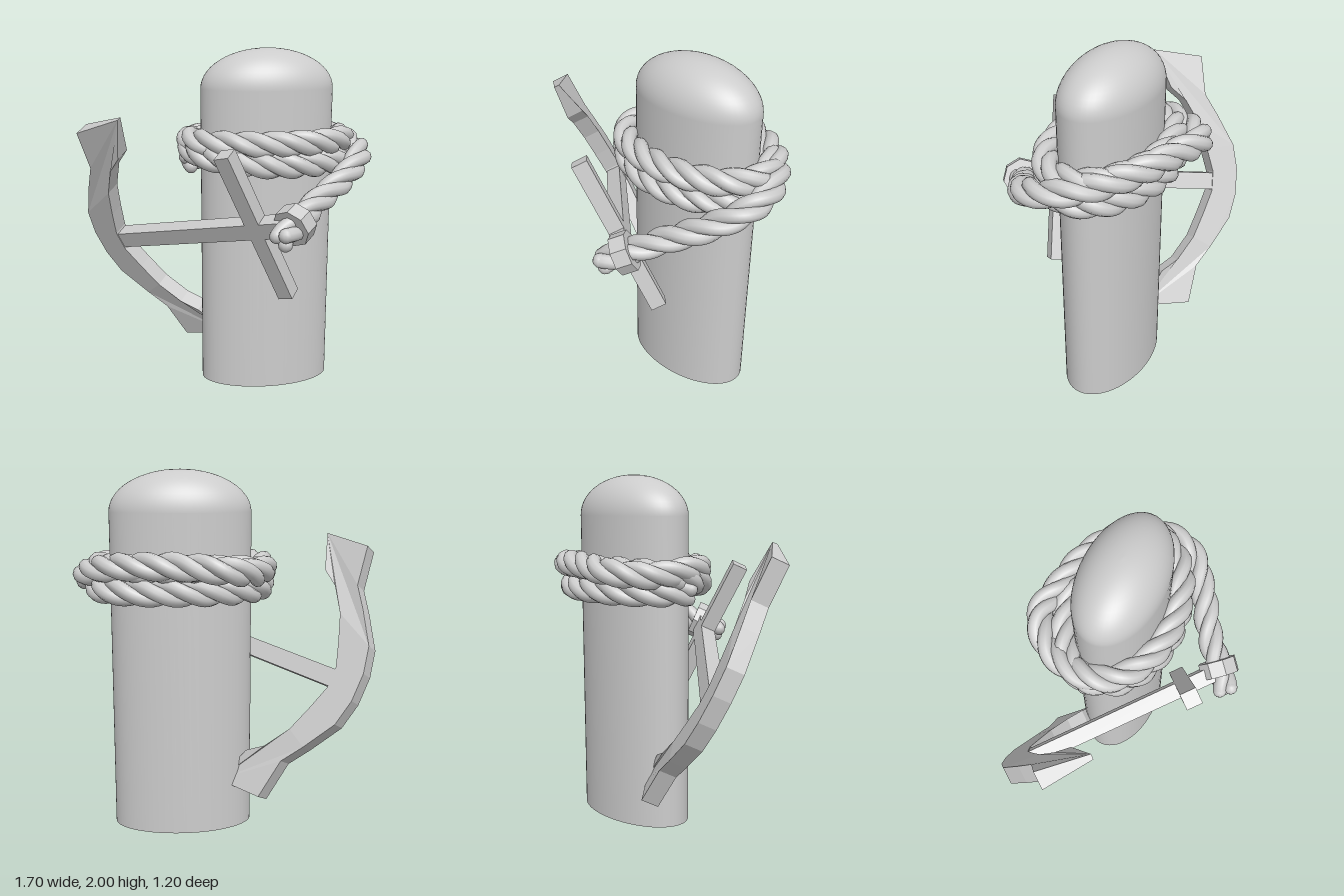
import * as THREE from 'three';

const smooth = () => new THREE.MeshStandardMaterial({ color: 0xcccccc, side: THREE.DoubleSide });
const flat = () => new THREE.MeshStandardMaterial({ color: 0xcccccc, flatShading: true });

function add(parent, name, geometry, material) {
  const mesh = new THREE.Mesh(geometry, material);
  mesh.name = name;
  parent.add(mesh);
  return mesh;
}

// Oval post with a domed top and an open foot
function buildPost() {
  const profile = [new THREE.Vector2(1, 0), new THREE.Vector2(1, 1.77)];
  for (let i = 1; i <= 14; i++) {
    const a = (i / 14) * Math.PI / 2;
    profile.push(new THREE.Vector2(Math.cos(a), 1.77 + 0.23 * Math.sin(a)));
  }
  profile[profile.length - 1].x = 0;
  const geometry = new THREE.LatheGeometry(profile, 56);
  geometry.scale(0.39, 1, 0.23);
  const post = new THREE.Mesh(geometry, smooth());
  post.name = 'post';
  post.position.set(0.24, 0, -0.135);
  return post;
}

// Flat anchor: local x runs along the shank, local y along the stock
function buildAnchor() {
  const anchor = new THREE.Group();
  anchor.name = 'anchor';

  // Upper half of the arms and fluke, outer edge then inner edge; mirrored below
  const half = [
    [-0.97, 0.06], [-0.92, 0.2], [-0.86, 0.35], [-0.76, 0.49], [-0.66, 0.56], [-0.555, 0.78],
    [-0.85, 0.76], [-0.89, 0.53], [-0.98, 0.41], [-1.1, 0.23], [-1.135, 0.08],
  ];
  const outline = [...half, ...half.map(([u, v]) => [u, -v]).reverse()];
  const shape = new THREE.Shape(outline.map(([u, v]) => new THREE.Vector2(u, v)));
  const arms = new THREE.ExtrudeGeometry(shape, { depth: 0.1, bevelEnabled: false });
  arms.translate(0, 0, -0.05);
  // Thin the fluke tips
  const p = arms.attributes.position;
  for (let i = 0; i < p.count; i++) {
    if (p.getX(i) > -0.6 && Math.abs(p.getY(i)) > 0.7) p.setZ(i, p.getZ(i) * 0.3);
  }
  add(anchor, 'armsAndFlukes', arms, flat());

  add(anchor, 'shank', new THREE.BoxGeometry(1.2, 0.1, 0.09), flat()).position.x = -0.4;
  add(anchor, 'stock', new THREE.BoxGeometry(0.09, 0.96, 0.09), flat());

  const x = new THREE.Vector3(0.712, 0.192, 0.676).normalize();
  const z = new THREE.Vector3().crossVectors(x, new THREE.Vector3(-0.42, 0.885, 0.195)).normalize();
  const y = new THREE.Vector3().crossVectors(z, x);
  anchor.quaternion.setFromRotationMatrix(new THREE.Matrix4().makeBasis(x, y, z));
  anchor.position.set(0.095, 1.05, 0.31);
  return anchor;
}

// Centre line: two turns round the post, then a loose turn down to the anchor
function ropePath() {
  const points = [];
  const steps = 12;
  for (let i = 0; i <= steps * 2; i++) {
    const a = Math.PI + (i / steps) * Math.PI * 2;
    const t = i / (steps * 2);
    const y = 1.36 + 0.12 * THREE.MathUtils.smoothstep(t, 0.36, 0.6);
    points.push(new THREE.Vector3(0.24 + 0.45 * Math.cos(a), y, -0.135 + 0.285 * Math.sin(a)));
  }
  const loose = [
    [-0.16, 1.46, -0.37], [0, 1.48, -0.52], [0.22, 1.5, -0.49], [0.45, 1.5, -0.43], [0.65, 1.48, -0.3],
    [0.76, 1.43, -0.1], [0.74, 1.38, 0.06], [0.6, 1.28, 0.2], [0.42, 1.18, 0.32], [0.28, 1.1, 0.44], [0.18, 1.04, 0.53],
  ];
  loose.forEach((q) => points.push(new THREE.Vector3(...q)));
  const path = new THREE.CatmullRomCurve3(points);
  path.arcLengthDivisions = 1000;
  return path;
}

// Three strands twisted about the centre line
function buildRope() {
  const rope = new THREE.Group();
  rope.name = 'rope';
  const path = ropePath();
  const n = 300;
  const frames = path.computeFrenetFrames(n, false);
  const turns = path.getLength() / 0.45;
  for (let s = 0; s < 3; s++) {
    const points = [];
    for (let i = 0; i <= n; i++) {
      const a = (i / n) * turns * Math.PI * 2 + (s / 3) * Math.PI * 2;
      points.push(path.getPointAt(i / n)
        .addScaledVector(frames.normals[i], 0.037 * Math.cos(a))
        .addScaledVector(frames.binormals[i], 0.037 * Math.sin(a)));
    }
    const curve = new THREE.CatmullRomCurve3(points);
    curve.arcLengthDivisions = 1500;
    add(rope, 'strand', new THREE.TubeGeometry(curve, 450, 0.04, 10), smooth());
    // Rounded strand ends
    for (const end of [points[0], points[n]]) {
      add(rope, 'strandEnd', new THREE.SphereGeometry(0.04, 12, 8), smooth()).position.copy(end);
    }
  }

  // Eight-sided cuff holding the rope to the shank
  const cuff = add(rope, 'cuff', new THREE.CylinderGeometry(0.112, 0.112, 0.09, 8), flat());
  cuff.position.set(0.265, 1.095, 0.45);
  cuff.quaternion.setFromUnitVectors(new THREE.Vector3(0, 1, 0), new THREE.Vector3(0.24, 0.14, -0.21).normalize());
  return rope;
}

export function createModel() {
  const model = new THREE.Group();
  model.name = 'mooringPostWithAnchor';
  model.add(buildPost(), buildAnchor(), buildRope());
  return model;
}
